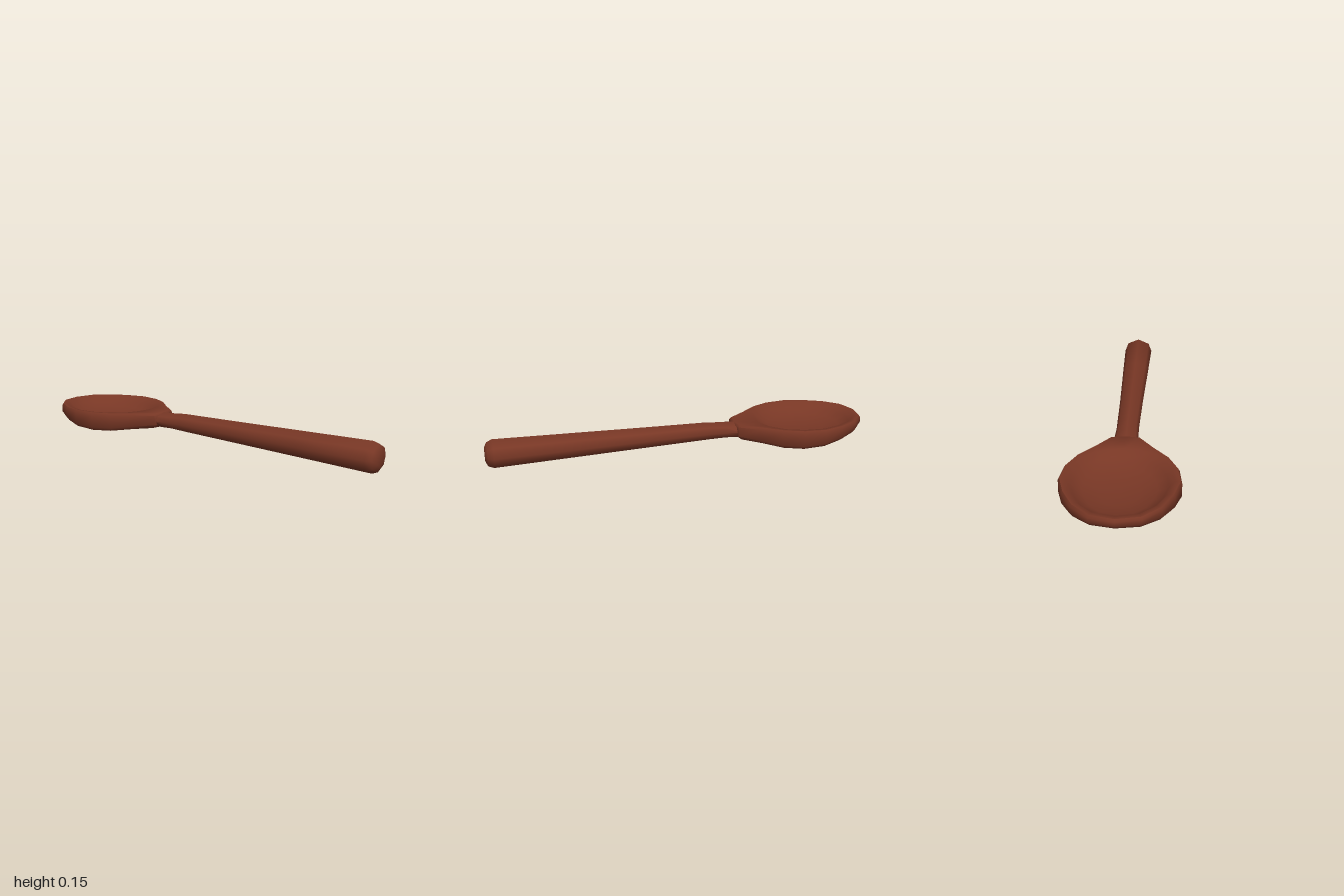
import * as THREE from 'three';
import { toCreasedNormals } from 'three/addons/utils/BufferGeometryUtils.js';

// Skin a list of closed rings (equal point counts); coincident points form the end caps.
function loft(rings) {
  const pos = [];
  const tri = (...pts) => {
    const [a, b, c] = pts;
    if (a.distanceTo(b) < 1e-6 || b.distanceTo(c) < 1e-6 || c.distanceTo(a) < 1e-6) return;
    for (const p of pts) pos.push(p.x, p.y, p.z);
  };
  for (let k = 0; k < rings.length - 1; k++) {
    const r = rings[k], s = rings[k + 1], n = r.length;
    for (let j = 0; j < n; j++) {
      const m = (j + 1) % n;
      tri(r[j], s[j], r[m]);
      tri(r[m], s[j], s[m]);
    }
  }
  const geometry = new THREE.BufferGeometry();
  geometry.setAttribute('position', new THREE.Float32BufferAttribute(pos, 3));
  return toCreasedNormals(geometry, 0.95);
}

// Linear interpolation through [z, value] pairs sorted by z.
function sample(table, z) {
  if (z <= table[0][0]) return table[0][1];
  for (let i = 1; i < table.length; i++) {
    const [z0, v0] = table[i - 1], [z1, v1] = table[i];
    if (z <= z1) return v0 + (v1 - v0) * (z - z0) / (z1 - z0);
  }
  return table[table.length - 1][1];
}

// Complete a half outline of [x, z] points by mirroring it in x.
const mirror = half => [...half, ...half.slice(1, -1).reverse().map(([x, z]) => [-x, z])];

function headGeometry() {
  const cz = -0.69;
  const outer = mirror([[0, -1], [0.11, -0.975], [0.19, -0.9], [0.242, -0.8], [0.272, -0.69],
    [0.26, -0.575], [0.215, -0.475], [0.138, -0.38], [0.07, -0.285], [0, -0.275]]);
  const inner = mirror([[0, -0.968], [0.098, -0.945], [0.168, -0.88], [0.214, -0.79], [0.24, -0.69],
    [0.23, -0.59], [0.19, -0.5], [0.125, -0.437], [0.06, -0.412], [0, -0.405]]);
  // Underside height along the centre line
  const keel = [[-1, 0.055], [-0.85, 0.033], [-0.7, 0.013], [-0.58, 0.004],
    [-0.48, 0.005], [-0.38, 0.016], [-0.28, 0.024]];
  const ring = (outline, s, height) => outline.map(([x, z]) => {
    const zz = cz + (z - cz) * s;
    return new THREE.Vector3(x * s, height(zz), zz);
  });
  const under = s => ring(outer, s, z => sample(keel, z) + 0.015 * s);
  return loft([
    under(0), under(0.3), under(0.65), under(0.95),      // underside
    ring(outer, 1, z => sample(keel, z) + 0.031),        // wall
    ring(outer, 1, () => 0.106),
    ring(outer, 0.975, () => 0.117),                     // rim
    ring(inner, 1, () => 0.115),
    ring(inner, 0.9, () => 0.088),                       // hollow
    ring(inner, 0.7, () => 0.064),
    ring(inner, 0.4, () => 0.05),
    ring(inner, 0, () => 0.046),
  ]);
}

function handleGeometry() {
  // z, half width, bottom y, top y
  const stations = [
    [-0.4, 0, 0.07, 0.07], [-0.4, 0.06, 0.04, 0.1], [-0.3, 0.064, 0.031, 0.116],
    [-0.22, 0.059, 0.034, 0.119], [-0.13, 0.056, 0.03, 0.127], [0.2, 0.062, 0.022, 0.134],
    [0.6, 0.073, 0.012, 0.144], [0.96, 0.082, 0.003, 0.153],
    [0.988, 0.069, 0.015, 0.141], [1, 0.04, 0.042, 0.115], [1, 0, 0.078, 0.078],
  ];
  const sides = 8;
  return loft(stations.map(([z, w, y0, y1]) => Array.from({ length: sides }, (_, i) => {
    const a = i / sides * Math.PI * 2;
    const diagonal = i % 2 ? 1.1 : 1;
    return new THREE.Vector3(Math.sin(a) * w * diagonal,
      (y0 + y1) / 2 + Math.cos(a) * (y1 - y0) / 2 * (i % 2 ? 0.9 : 1), z);
  })));
}

export function createModel() {
  const wood = new THREE.MeshStandardMaterial({ color: 0x783725 });
  wood.name = 'reddish brown wood';

  const spoon = new THREE.Group();
  spoon.name = 'woodenSpoon';
  for (const [name, geometry] of [['spoonHead', headGeometry()], ['handle', handleGeometry()]]) {
    const mesh = new THREE.Mesh(geometry, wood);
    mesh.name = name;
    spoon.add(mesh);
  }
  return spoon;
}
